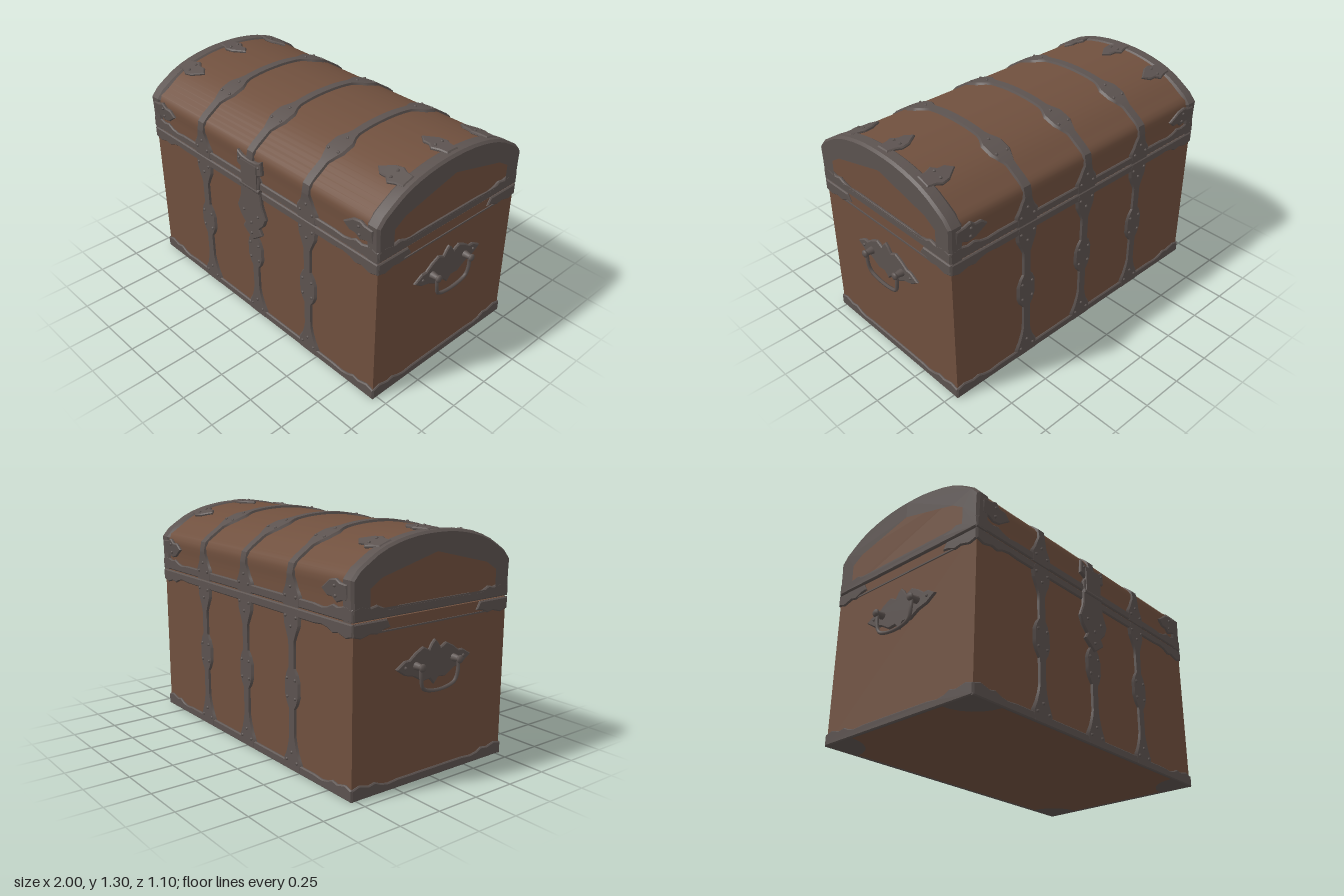
import * as THREE from 'three';
import { toCreasedNormals } from 'three/addons/utils/BufferGeometryUtils.js';

const V = (x, y, z) => new THREE.Vector3(x, y, z);

export function createModel() {
  const root = new THREE.Group();
  root.name = 'chest';
  const wood = new THREE.MeshStandardMaterial({ color: 0x70503e });
  wood.name = 'brown wood';
  const iron = new THREE.MeshStandardMaterial({ color: 0x5c5350 });
  iron.name = 'dark iron';

  const add = (parent, name, geo, mat = iron) => {
    const m = new THREE.Mesh(geo, mat);
    m.name = name;
    parent.add(m);
    return m;
  };
  const shapeOf = pts => new THREE.Shape(pts.map(p => new THREE.Vector2(p[0], p[1])));
  // thin bevelled plate in the xy plane, facing +z
  const plate = (pts, depth = 0.008) => toCreasedNormals(new THREE.ExtrudeGeometry(shapeOf(pts), {
    depth, bevelThickness: 0.006, bevelSize: 0.006, bevelOffset: -0.006, bevelSegments: 1,
  }), 0.5);
  // half outline (x >= 0) mirrored to the other side
  const mirror = half => [...half, ...half.filter(p => p[0] > 0).reverse().map(p => [-p[0], p[1]])];
  const studGeo = new THREE.SphereGeometry(0.009, 6, 4);
  const stud = (parent, p) => { add(parent, 'stud', studGeo).position.copy(p); };

  // iron strap along a curve; stations are [distance, half width], studs are [distance, offset]
  const X = V(1, 0, 0);
  function strap(parent, name, curve, stations, studs, x) {
    const len = curve.getLength();
    const at = d => {
      const u = Math.min(1, Math.max(0, d / len));
      return { p: curve.getPointAt(u), n: X.clone().cross(curve.getTangentAt(u)).normalize() };
    };
    const ds = stations.map(s => s[0]);
    for (let d = 0.03; d < len; d += 0.045) ds.push(d);
    ds.sort((a, b) => a - b);
    const width = d => {
      const k = Math.max(1, stations.findIndex(s => s[0] >= d));
      const [a, b] = [stations[k - 1], stations[k]];
      return THREE.MathUtils.mapLinear(d, a[0], b[0], a[1], b[1]);
    };
    const pos = [], idx = [];
    ds.forEach((d, i) => {
      const { p, n } = at(d), w = width(d);
      for (const [s, h] of [[-1, -0.006], [-0.75, 0.012], [0.75, 0.012], [1, -0.006]]) {
        const q = p.clone().addScaledVector(n, h);
        pos.push(q.x + s * w, q.y, q.z);
      }
      if (i) for (let j = 0; j < 3; j++) {
        const a = (i - 1) * 4 + j, b = a + 4;
        idx.push(a, a + 1, b + 1, a, b + 1, b);
      }
    });
    const g = new THREE.BufferGeometry();
    g.setAttribute('position', new THREE.Float32BufferAttribute(pos, 3));
    g.setIndex(idx);
    const group = new THREE.Group();
    group.name = name;
    group.position.x = x;
    add(group, 'strap', toCreasedNormals(g, 0.5));
    for (const [d, o] of studs) {
      const { p, n } = at(d);
      p.addScaledVector(n, 0.012);
      stud(group, V(o, p.y, p.z));
    }
    parent.add(group);
  }

  // wooden body
  add(root, 'body', new THREE.BoxGeometry(1.852, 0.882, 1.046).translate(0, 0.445, 0), wood);

  // barrel lid
  const arc = [[0.523, 0.89], [0.523, 1.0], [0.523, 1.095], [0.455, 1.15], [0.37, 1.203], [0.28, 1.238], [0.14, 1.267]];
  const lidCurve = new THREE.CatmullRomCurve3(
    [...arc, [0, 1.275], ...arc.slice().reverse().map(([z, y]) => [-z, y])].map(([z, y]) => V(0, y, z)), false, 'centripetal');
  const lidPts = lidCurve.getSpacedPoints(48).map(p => [-p.z, p.y]);
  const lidGeo = new THREE.ExtrudeGeometry(shapeOf(lidPts), { depth: 1.82, bevelEnabled: false });
  lidGeo.translate(0, 0, -0.91).rotateY(Math.PI / 2);
  add(root, 'lid', toCreasedNormals(lidGeo, 0.5), wood);

  // arched iron frames at both lid ends
  const outer = lidCurve.getSpacedPoints(24).map(p => [-p.z * 1.02, p.y + (p.y > 0.95 ? 0.008 : 0)]);
  for (const s of [-1, 1]) {
    const shape = shapeOf(outer);
    shape.holes.push(new THREE.Path([[-0.44, 0.93], [-0.44, 1.05], [-0.36, 1.1], [0, 1.19], [0.36, 1.1], [0.44, 1.05], [0.44, 0.93]]
      .map(p => new THREE.Vector2(...p))));
    const g = new THREE.ExtrudeGeometry(shape, {
      depth: 0.055, bevelThickness: 0.014, bevelSize: 0.012, bevelOffset: -0.012, bevelSegments: 1,
    });
    g.translate(0, 0, -0.0275).rotateY(Math.PI / 2).translate(s * 0.894, 0, 0);
    add(root, 'lidEndFrame', toCreasedNormals(g, 0.5));
  }

  // iron leaves reaching from the frames onto the lid
  const leaf = plate([[-0.03, -0.04], [0.02, -0.045], [0.05, -0.06], [0.1, -0.05], [0.12, -0.035], [0.17, 0],
    [0.13, 0.035], [0.09, 0.035], [0.06, 0.06], [0.02, 0.045], [-0.03, 0.04]]);
  const lidLen = lidCurve.getLength();
  for (const s of [-1, 1]) for (const d of [-0.635, -0.31, 0, 0.31, 0.635]) {
    const u = 0.5 + d / lidLen, t = lidCurve.getTangentAt(u).multiplyScalar(-s);
    const dir = V(-s, 0, 0);
    const g = new THREE.Group();
    g.name = 'lidLeaf';
    g.setRotationFromMatrix(new THREE.Matrix4().makeBasis(dir, t, dir.clone().cross(t)));
    g.position.copy(lidCurve.getPointAt(u)).setX(s * 0.87);
    add(g, 'leafPlate', leaf);
    for (const o of [-0.025, 0.025]) stud(g, V(0.06, o, 0.014));
    root.add(g);
  }

  // three straps across the lid
  const straps = [-0.445, -0.008, 0.432];
  const half = lidLen / 2;
  const rise = [[0, 0.085], [0.06, 0.09], [0.1, 0.06], [0.16, 0.032], [half - 0.42, 0.032], [half - 0.385, 0.05],
    [half - 0.34, 0.072], [half - 0.27, 0.072], [half - 0.22, 0.04], [half - 0.19, 0.03]];
  const rivets = [[0.05, -0.045], [0.05, 0.045], [0.1, 0], [half - 0.35, -0.035], [half - 0.35, 0.035], [half - 0.25, 0]];
  const both = list => [...list, ...list.slice().reverse().map(([d, w]) => [lidLen - d, w])];
  for (const x of straps) strap(root, 'lidStrap', lidCurve, both(rise), both(rivets), x);

  // straps and corner-leaf rims on each face
  const corner = [[0, 0.062], [0.05, 0.076], [0.11, 0.06], [0.15, 0.068], [0.19, 0.05], [0.235, 0.042]];
  function rim(parent, name, L, y, flip, whole) {
    const k = flip ? -1 : 1;
    if (whole) {
      const prof = [...corner, [0.3, 0.048]].map(([d, h]) => [L - d, h * k]);
      add(parent, name, plate([[L, 0], ...prof, ...prof.slice().reverse().map(([x, h]) => [-x, h]), [-L, 0]])).position.y = y;
    } else for (const s of [-1, 1]) {
      add(parent, name, plate([[s * L, 0], ...corner.map(([d, h]) => [s * (L - d), h * k]), [s * (L - 0.21), 0]])).position.y = y;
    }
  }
  const bodyLine = new THREE.LineCurve3(V(0, 0.005, 0.523), V(0, 0.88, 0.523));
  const bodyStations = [[0, 0.085], [0.05, 0.09], [0.1, 0.06], [0.15, 0.04], [0.19, 0.03], [0.34, 0.03], [0.37, 0.055],
    [0.41, 0.073], [0.49, 0.073], [0.53, 0.055], [0.56, 0.03], [0.7, 0.03], [0.73, 0.045], [0.79, 0.078], [0.85, 0.085], [0.875, 0.07]];
  const bodyStuds = [[0.05, -0.045], [0.05, 0.045], [0.1, 0], [0.4, -0.035], [0.4, 0.035], [0.5, -0.035], [0.5, 0.035],
    [0.78, 0], [0.83, -0.045], [0.83, 0.045]];
  for (let i = 0; i < 4; i++) {
    const face = new THREE.Group(), side = i % 2 === 1;
    face.name = ['front', 'leftEnd', 'back', 'rightEnd'][i] + 'Ironwork';
    face.rotation.y = i * Math.PI / 2;
    const rims = new THREE.Group();
    rims.name = 'rims';
    rims.position.z = side ? 0.922 : 0.52;
    const L = side ? 0.53 : 0.933;
    rim(rims, 'bottomRim', L, 0, false, true);
    rim(rims, 'bodyTopRim', L, 0.885, true, !side);
    rim(rims, 'lidRim', L, 0.892, false, true);
    if (side) add(rims, 'thinTrim', new THREE.BoxGeometry(0.8, 0.008, 0.012).translate(0, 0.826, 0.004));
    face.add(rims);
    if (!side) for (const x of straps) strap(face, 'bodyStrap', bodyLine, bodyStations, bodyStuds, i ? -x : x);
    root.add(face);
  }

  // hasp and lock shield on the front
  const hasp = new THREE.Group();
  hasp.name = 'lockHasp';
  hasp.position.set(-0.008, 0, 0.528);
  add(hasp, 'haspTop', plate(mirror([[0, 0.885], [0.072, 0.885], [0.078, 0.95], [0.062, 0.98], [0.105, 1.0],
    [0.1, 1.08], [0.06, 1.06], [0, 1.055]]), 0.012));
  add(hasp, 'lockShield', plate(mirror([[0, 0.54], [0.05, 0.575], [0.082, 0.6], [0.06, 0.635], [0.1, 0.675], [0.122, 0.725],
    [0.09, 0.8], [0.082, 0.885], [0, 0.885]]), 0.012));
  add(hasp, 'haspTongue', new THREE.BoxGeometry(0.13, 0.16, 0.012).translate(0, 0.96, 0.017));
  add(hasp, 'haspPin', new THREE.CylinderGeometry(0.014, 0.014, 0.16, 8).rotateZ(Math.PI / 2).translate(0, 0.888, 0.012));
  for (const [x, y] of [[-0.06, 0.72], [0.06, 0.72], [0, 0.66], [0, 0.59], [-0.08, 1.04], [0.08, 1.04]]) stud(hasp, V(x, y, 0.019));
  root.add(hasp);

  // carrying handles on both ends
  for (const s of [-1, 1]) {
    const h = new THREE.Group();
    h.name = s > 0 ? 'leftHandle' : 'rightHandle';
    h.rotation.y = s * Math.PI / 2;
    h.position.set(s * 0.926, 0.62, 0);
    add(h, 'handlePlate', plate(mirror([[0, -0.118], [0.03, -0.085], [0.08, -0.09], [0.14, -0.055], [0.2, -0.04], [0.258, 0],
      [0.2, 0.035], [0.17, 0.035], [0.13, 0.065], [0.08, 0.09], [0.04, 0.07], [0.02, 0.1], [0, 0.118]])));
    for (const k of [-1, 1]) {
      add(h, 'handlePost', new THREE.CylinderGeometry(0.014, 0.024, 0.06, 8).rotateX(Math.PI / 2).translate(k * 0.13, 0, 0.03));
      add(h, 'handleKnob', new THREE.SphereGeometry(0.022, 8, 6).scale(1, 1, 0.6).translate(k * 0.13, 0, 0.061));
      stud(h, V(k * 0.2, 0, 0.014));
    }
    const bail = new THREE.CatmullRomCurve3([V(-0.13, 0, 0.048), V(-0.128, -0.06, 0.05), V(-0.11, -0.112, 0.046),
      V(-0.05, -0.134, 0.044), V(0.05, -0.134, 0.044), V(0.11, -0.112, 0.046), V(0.128, -0.06, 0.05), V(0.13, 0, 0.048)]);
    add(h, 'handleBail', new THREE.TubeGeometry(bail, 32, 0.01, 6));
    root.add(h);
  }

  // corner plates under the floor
  for (const sx of [-1, 1]) for (const sz of [-1, 1]) {
    const start = Math.atan2(-sz, -sx) - Math.PI / 4;
    add(root, 'floorCornerPlate', new THREE.CircleGeometry(0.2, 6, start, Math.PI / 2)
      .rotateX(Math.PI / 2).translate(sx * 0.926, 0.001, sz * 0.523));
  }
  return root;
}
